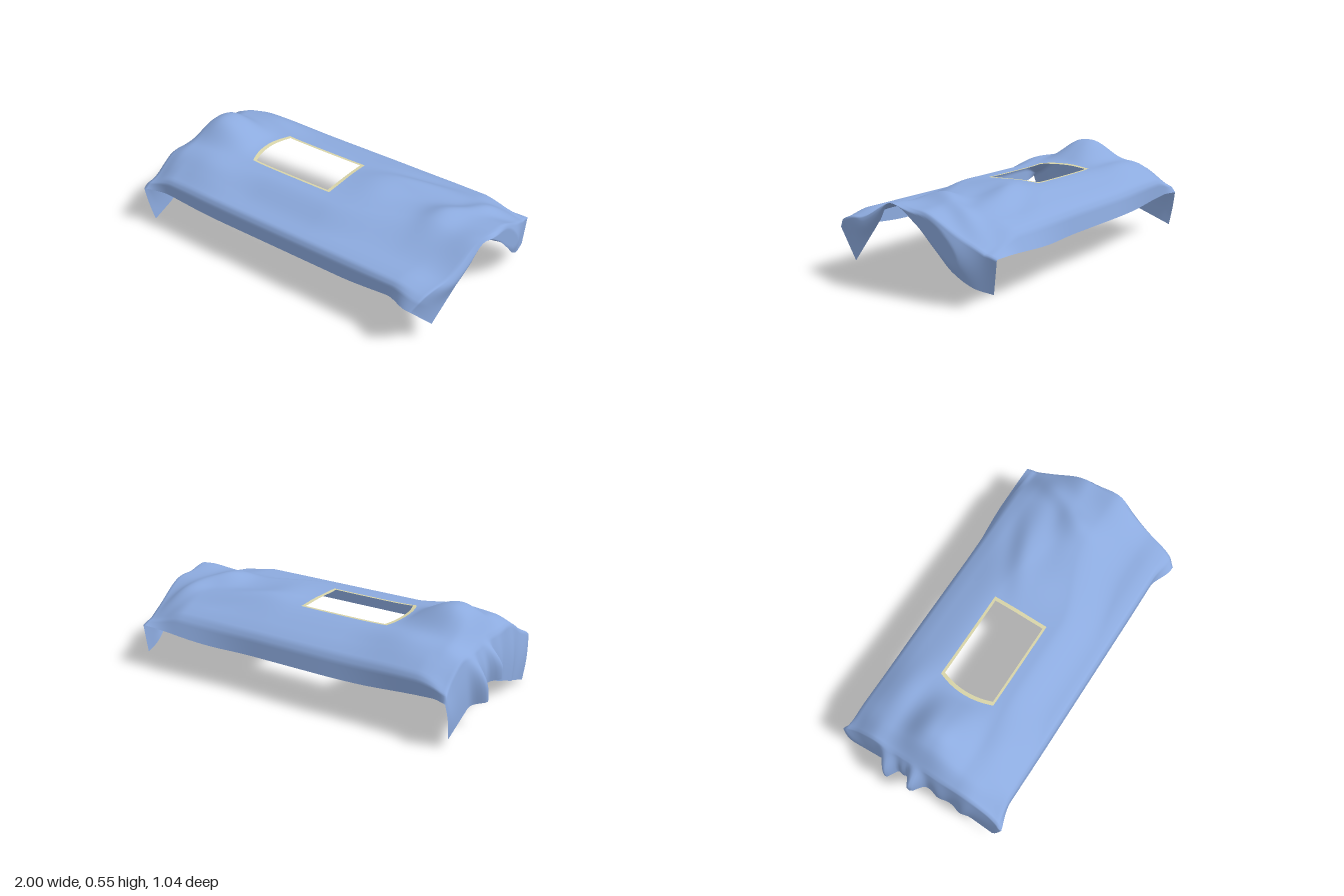
import * as THREE from 'three';

const { lerp, smoothstep } = THREE.MathUtils;
const bell = (d, w) => Math.exp(-((d / w) ** 2));

// Smooth interpolation through [position, value] pairs in ascending order
function through(pairs, p) {
  const n = pairs.length;
  if (p <= pairs[0][0]) return pairs[0][1];
  if (p >= pairs[n - 1][0]) return pairs[n - 1][1];
  let i = 0;
  while (p > pairs[i + 1][0]) i++;
  const [a, va] = pairs[i], [b, vb] = pairs[i + 1];
  const slope = (k) => (k <= 0 || k >= n - 1) ? (vb - va) / (b - a)
    : (pairs[k + 1][1] - pairs[k - 1][1]) / (pairs[k + 1][0] - pairs[k - 1][0]);
  const t = (p - a) / (b - a), d = b - a;
  return va * (1 + 2 * t) * (1 - t) ** 2 + vb * t * t * (3 - 2 * t)
    + d * t * (1 - t) * (slope(i) * (1 - t) - slope(i + 1) * t);
}

// Evenly spaced grid lines that pass exactly through the given stops
function gridLines(stops, step) {
  const out = [stops[0]];
  for (let i = 1; i < stops.length; i++) {
    const a = stops[i - 1], b = stops[i], n = Math.max(1, Math.round((b - a) / step));
    for (let k = 1; k <= n; k++) out.push(k === n ? b : lerp(a, b, k / n));
  }
  return out;
}

const WIN = { x0: -0.42, x1: 0.105, z0: -0.19, z1: 0.14 };
const INNER = { x0: -0.398, x1: 0.085, z0: -0.175, z1: 0.127 };
const X0 = -0.9, X1 = 0.97, RIM = 0.455, HEM = 0.13, HANG = 0.24;

// Height of the cloth lying over the body
function height(x, z) {
  const feet = smoothstep(x, 0.15, 0.65), shoulders = smoothstep(-x, 0.25, 0.65);
  const side = Math.abs(z);
  const plateau = z > 0
    ? 1 - smoothstep(z, lerp(lerp(0.19, 0.04, feet), 0.22, shoulders), lerp(lerp(0.41, 0.33, feet), 0.48, shoulders))
    : 1 - smoothstep(-z, lerp(lerp(0.18, 0.1, feet), 0.24, shoulders), 0.52);
  let y = 0.35 + 0.078 * plateau;
  const head = Math.exp(-((side / 0.155) ** 2.6));
  y += 0.125 * head * bell(x + 0.72, x < -0.72 ? 0.15 : 0.2);
  y += 0.022 * bell(x + 0.6, 0.18) * bell(side - 0.31, 0.1);
  y += 0.03 * bell(x - 0.7, 0.09) * bell(z + 0.02, 0.12);
  y += 0.02 * bell(x - 0.28, 0.15) * bell(z + 0.05, 0.16);
  y += 0.02 * bell(x - 0.97, 0.12) * bell(z - 0.08, 0.12);
  // Diagonal creases toward the rear foot corner
  const across = z + 0.3 + 0.45 * (x - 0.6);
  y += 0.01 * Math.sin(across * 24) * bell(x - 0.6, 0.28) * bell(z + 0.22, 0.16);
  y += 0.02 * bell(across, 0.07) * bell(x - 0.45, 0.22);
  // Ridge running from the feet to that corner
  y += 0.03 * bell((x - 0.7 + 0.5 * z) / 1.12, 0.055) * bell(z + 0.25, 0.17);
  // Rounded long edges and sagging corners
  y -= 0.015 * (Math.max(0, side - 0.37) / 0.085) ** 2;
  y -= 0.08 * smoothstep(x, 0.72, 0.97) * smoothstep(-z, 0.12, 0.45);
  y -= 0.025 * smoothstep(x, 0.78, 0.97) * smoothstep(z, 0.15, 0.45);
  y -= 0.04 * smoothstep(-x, 0.74, 0.9) * smoothstep(side, 0.28, 0.45);
  // Falling away past the head
  y -= 0.08 * smoothstep(-x, 0.8, 0.94) * bell(z, 0.35);
  return y;
}

const footRim = [[-0.58, 0.955], [-0.45, 0.96], [-0.2, 0.99], [0, 0.97], [0.3, 0.935], [0.58, 0.865]];
const footEdge = {
  x: [[-0.58, 0.95], [-0.2, 0.998], [0.08, 0.98], [0.3, 0.95], [0.58, 0.91]],
  y: [[-0.58, 0.08], [-0.44, 0.1], [-0.3, 0.16], [-0.2, 0.26], [-0.1, 0.36], [0.06, 0.445], [0.2, 0.345], [0.58, 0.1]],
  z: [[-0.58, -0.5], [-0.44, -0.4], [-0.3, -0.3], [0.06, 0.07], [0.2, 0.16], [0.58, 0.38]],
};
const headEdge = {
  y: [[-0.58, 0.045], [-0.1, 0.18], [-0.03, 0.21], [0, 0.195], [0.08, 0.14], [0.58, 0]],
  z: [[-0.58, -0.465], [-0.1, -0.1], [0.1, 0.1], [0.58, 0.45]],
};

// Top of the sheet together with its long front and rear hems
function top(s, t) {
  const side = Math.sign(t), over = Math.max(0, Math.abs(t) - RIM) / HEM;
  let x = s, z = t;
  if (over > 0) {
    const corner = smoothstep(Math.abs(s), 0.76, 0.95);
    const flare = side > 0 ? 0.05 * corner
      : 0.02 * smoothstep(s, -0.7, -0.2) + 0.03 * smoothstep(s, 0.2, 0.7) + 0.035 * smoothstep(-s, 0.82, 0.92);
    z = side * (RIM + 0.016 * Math.min(1, over * 4) + flare * over);
  }
  const rimZ = side * Math.min(Math.abs(t), RIM);
  const y0 = height(s, rimZ);
  const bottom = 0.22 + 0.028 * smoothstep(Math.abs(s), 0.4, 0.95);
  const y = lerp(y0, bottom, over);
  if (x > 0.4) x = 0.4 + (x - 0.4) * (through(footRim, t) - 0.4) / (X1 - 0.4);
  if (x < -0.7) x -= 0.02 * smoothstep(Math.abs(t), 0.4, 0.55) * smoothstep(-x, 0.7, 0.9);
  // Bowed end of the opening
  const half = (WIN.z1 - WIN.z0) / 2, m = (z - WIN.z0 - half) / half;
  if (Math.abs(m) < 1) x -= 0.036 * (1 - m * m) * bell(s + 0.41, 0.09);
  return new THREE.Vector3(x, y, z);
}

// Any point of the cloth, including both hanging ends
function cloth(s, t) {
  const p = top(THREE.MathUtils.clamp(s, X0, X1), t);
  if (s > X1) {
    const k = (s - X1) / HANG;
    const e = new THREE.Vector3(through(footEdge.x, t), through(footEdge.y, t), through(footEdge.z, t));
    p.lerp(e, k);
    p.x = Math.min(1, p.x + 0.02 * Math.sin(Math.PI * k) * smoothstep(0.5 - Math.abs(t), 0, 0.2));
  } else if (s < X0) {
    const k = (X0 - s) / HANG;
    const folds = 0.075 * bell(t + 0.2, 0.045) + 0.08 * bell(t + 0.02, 0.035)
      + 0.02 * bell(t + 0.1, 0.03) + 0.015 * bell(t - 0.12, 0.05) + 0.015 * bell(t - 0.3, 0.05);
    const e = new THREE.Vector3(-0.925 - folds, through(headEdge.y, t), through(headEdge.z, t));
    p.lerp(e, k);
    p.x = Math.max(-1, p.x - Math.sin(Math.PI * k) * (0.008 + 0.35 * folds));
  }
  return p;
}

export function createModel() {
  const xs = gridLines([X0 - HANG, X0, WIN.x0, INNER.x0, INNER.x1, WIN.x1, X1, X1 + HANG], 0.017);
  const zs = gridLines([-RIM - HEM, -RIM, WIN.z0, INNER.z0, INNER.z1, WIN.z1, RIM, RIM + HEM], 0.013);
  const pos = [], all = [], sheet = [], border = [];
  const inside = (r, x, z) => x > r.x0 && x < r.x1 && z > r.z0 && z < r.z1;
  for (const t of zs) for (const s of xs) pos.push(...cloth(s, t).toArray());
  for (let j = 0; j < zs.length - 1; j++) {
    for (let i = 0; i < xs.length - 1; i++) {
      const a = j * xs.length + i, b = a + 1, c = a + xs.length, d = c + 1;
      const quad = [a, c, b, b, c, d];
      const x = (xs[i] + xs[i + 1]) / 2, z = (zs[j] + zs[j + 1]) / 2;
      all.push(...quad);
      if (inside(INNER, x, z)) continue;
      (inside(WIN, x, z) ? border : sheet).push(...quad);
    }
  }
  const base = new THREE.BufferGeometry();
  base.setAttribute('position', new THREE.Float32BufferAttribute(pos, 3));
  base.setIndex(all);
  base.computeVertexNormals();

  const group = new THREE.Group();
  group.name = 'drape';
  const add = (name, index, color) => {
    const geometry = base.clone();
    geometry.setIndex(index);
    const mesh = new THREE.Mesh(geometry, new THREE.MeshStandardMaterial({ color, side: THREE.DoubleSide }));
    mesh.name = name;
    group.add(mesh);
  };
  add('drapeSheet', sheet, 0x8caade);
  add('openingBorder', border, 0xd8d4a8);
  return group;
}
